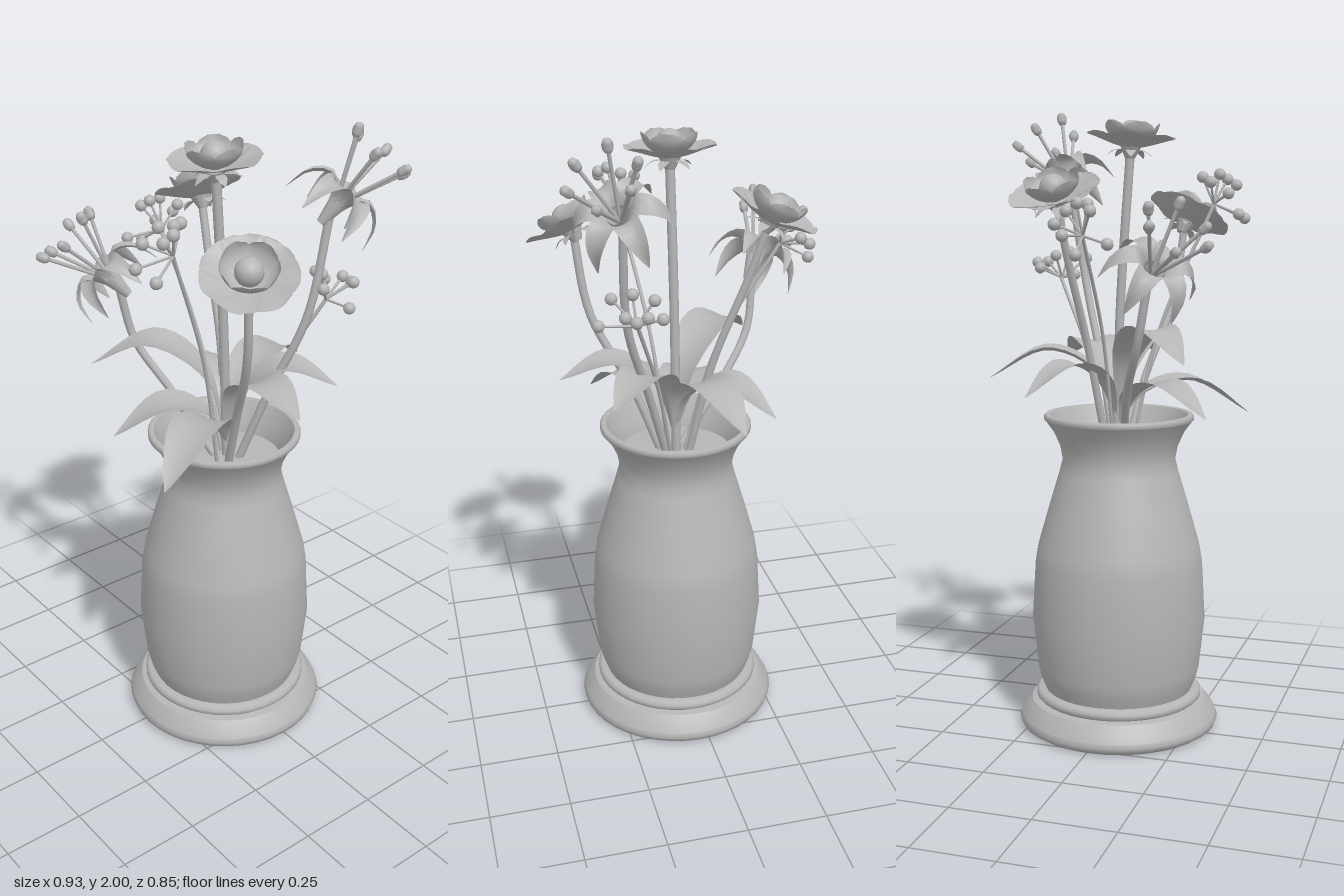
import * as THREE from 'three';

const V = (x, y, z) => new THREE.Vector3(x, y, z);
const UP = V(0, 1, 0);
const clay = new THREE.MeshStandardMaterial({ color: 0xb5b5b5, side: THREE.DoubleSide });
clay.name = 'grey clay';

function add(parent, name, geometry, position) {
  const mesh = new THREE.Mesh(geometry, clay);
  mesh.name = name;
  if (position) mesh.position.copy(position);
  parent.add(mesh);
  return mesh;
}

function group(parent, name, position, direction) {
  const g = new THREE.Group();
  g.name = name;
  g.position.copy(position);
  if (direction) g.quaternion.setFromUnitVectors(UP, direction.clone().normalize());
  parent.add(g);
  return g;
}

// Blade swept along a curve: width(t) is the half width, cup lifts its edges
function blade(points, width, cup, rows = 9, cols = 6) {
  const curve = new THREE.CatmullRomCurve3(points);
  const first = points[0], last = points[points.length - 1];
  const side = V(last.z - first.z, 0, first.x - last.x).normalize();
  const pos = [], index = [];
  for (let i = 0; i <= rows; i++) {
    const t = i / rows, p = curve.getPoint(t), w = width(t);
    const normal = curve.getTangent(t).cross(side).normalize();
    for (let j = 0; j <= cols; j++) {
      const s = (j / cols) * 2 - 1;
      const q = p.clone().addScaledVector(side, s * w).addScaledVector(normal, cup * s * s * w);
      pos.push(q.x, q.y, q.z);
      if (i < rows && j < cols) {
        const a = i * (cols + 1) + j, b = a + cols + 1;
        index.push(a, b, a + 1, b, b + 1, a + 1);
      }
    }
  }
  const geo = new THREE.BufferGeometry();
  geo.setAttribute('position', new THREE.Float32BufferAttribute(pos, 3));
  geo.setIndex(index);
  geo.computeVertexNormals();
  return geo;
}

function tube(points, radius, segments = 20) {
  return new THREE.TubeGeometry(new THREE.CatmullRomCurve3(points), segments, radius, 8);
}

// Thin rod between two points
function rod(parent, name, a, b, radius) {
  const d = b.clone().sub(a);
  const m = add(parent, name, new THREE.CylinderGeometry(radius, radius, d.length(), 6),
    a.clone().add(b).multiplyScalar(0.5));
  m.quaternion.setFromUnitVectors(UP, d.normalize());
}

const roundWidth = (w) => (t) => w * (0.2 + 0.8 * Math.sin(Math.PI * Math.min(1, 0.1 + t * 0.6)))
  * (t > 0.75 ? Math.sqrt(1 - ((t - 0.75) / 0.27) ** 2) : 1);
const pointedWidth = (w, shift) => (t) => 0.002 + w * Math.sin(Math.PI * Math.pow(t, shift));

// Open round blossom: two rings of petals around a ball
function blossom(parent, position, direction, turn) {
  const g = group(parent, 'blossom', position, direction);
  const outer = blade([V(0, 0, 0.012), V(0, 0.012, 0.06), V(0, 0.028, 0.11), V(0, 0.036, 0.14)], roundWidth(0.064), 0.22);
  const inner = blade([V(0, 0.012, 0.01), V(0, 0.02, 0.045), V(0, 0.048, 0.075), V(0, 0.08, 0.086)], roundWidth(0.05), 0.25);
  for (let i = 0; i < 7; i++) add(g, 'outerPetal', outer).rotation.y = turn + i * Math.PI * 2 / 7;
  for (let i = 0; i < 5; i++) add(g, 'innerPetal', inner).rotation.y = turn + 0.3 + i * Math.PI * 2 / 5;
  add(g, 'blossomCentre', new THREE.SphereGeometry(0.042, 16, 12), V(0, 0.046, 0));
  add(g, 'calyx', new THREE.CylinderGeometry(0.035, 0.015, 0.04, 10), V(0, -0.012, 0));
  const sepal = blade([V(0, -0.005, 0.015), V(0, -0.008, 0.05), V(0, -0.025, 0.075)], pointedWidth(0.014, 0.8), 0.1, 5, 2);
  for (let i = 0; i < 5; i++) add(g, 'sepal', sepal).rotation.y = i * Math.PI * 2 / 5;
}

// Lily: drooping recurved petals with long stamens
function lily(parent, position, direction, turn) {
  const g = group(parent, 'lily', position, direction);
  const petal = blade([V(0, -0.03, 0.012), V(0, 0.045, 0.032), V(0, 0.078, 0.072), V(0, 0.045, 0.12), V(0, -0.03, 0.145)],
    pointedWidth(0.036, 0.9), 0.35, 10, 4);
  for (let i = 0; i < 6; i++) add(g, 'lilyPetal', petal).rotation.y = turn + i * Math.PI / 3;
  add(g, 'lilyThroat', new THREE.CylinderGeometry(0.034, 0.014, 0.1, 10, 1, true), V(0, 0.005, 0));
  for (let i = 0; i < 6; i++) {
    const a = turn + 0.4 + i * Math.PI / 3, r = 0.1;
    const tip = V(Math.sin(a) * r, 0.21 + 0.015 * (i % 2), Math.cos(a) * r);
    rod(g, 'stamen', V(0, 0.02, 0), tip, 0.006);
    const anther = add(g, 'anther', new THREE.CapsuleGeometry(0.016, 0.014, 2, 6), tip);
    anther.quaternion.setFromUnitVectors(UP, tip.clone().normalize());
  }
}

// Spray of berries on thin stalks
function berrySpray(parent, position, direction, turn) {
  const g = group(parent, 'berrySpray', position, direction);
  const bead = new THREE.IcosahedronGeometry(0.019, 1);
  for (let i = 0; i < 8; i++) {
    const a = turn + i * 2.4, r = 0.04 + 0.07 * (i % 3) / 2;
    const tip = V(Math.sin(a) * r, 0.12 - r * 1.05, Math.cos(a) * r);
    rod(g, 'berryStalk', V(0, -0.01, 0), tip, 0.004);
    add(g, 'berry', bead, tip);
  }
}

export function createModel() {
  const model = new THREE.Group();
  model.name = 'flowerVase';

  // Vase: foot, body and flared rim in separate smooth sections
  const vase = group(model, 'vase', V(0.035, 0, 0.01));
  const lathe = (name, pts) => add(vase, name,
    new THREE.LatheGeometry(pts.map((p) => new THREE.Vector2(p[0], p[1])), 40));
  lathe('footBottom', [[0, 0], [0.305, 0]]);
  lathe('footEdge', [[0.305, 0], [0.32, 0.01], [0.325, 0.025], [0.32, 0.038]]);
  lathe('footSlope', [[0.32, 0.038], [0.305, 0.065], [0.285, 0.088]]);
  lathe('footLedge', [[0.285, 0.088], [0.262, 0.092]]);
  lathe('footRing', [[0.262, 0.092], [0.27, 0.1], [0.27, 0.112], [0.262, 0.122], [0.24, 0.124]]);
  lathe('body', [[0.24, 0.12], [0.255, 0.16], [0.265, 0.2], [0.282, 0.36], [0.272, 0.54], [0.262, 0.6],
    [0.225, 0.73], [0.192, 0.84], [0.182, 0.88], [0.19, 0.925], [0.21, 0.97], [0.235, 1.005]]);
  lathe('rim', [[0.235, 1.005], [0.241, 1.01], [0.241, 1.022], [0.235, 1.028], [0.222, 1.026]]);
  lathe('innerWall', [[0.222, 1.026], [0.197, 0.975], [0.18, 0.93], [0.172, 0.88]]);
  lathe('innerFloor', [[0.18, 0.925], [0, 0.93]]);

  // Stems with their heads: [head, stem radius, path, head direction, turn]
  const flowers = [
    [blossom, 0.015, [V(0.035, 0.92, 0), V(0.036, 1.4, 0.015), V(0.04, 1.86, 0.045)], V(0, 1, 0.08), 0],
    [blossom, 0.013, [V(0, 0.92, -0.02), V(-0.07, 1.25, -0.06), V(-0.17, 1.52, -0.09), V(-0.225, 1.69, -0.105)], V(-0.42, 0.9, -0.08), 0.3],
    [blossom, 0.013, [V(0.08, 0.92, 0.03), V(0.16, 1.13, 0.06), V(0.28, 1.37, 0.12), V(0.32, 1.63, 0.15)], V(0.4, 0.84, 0.3), 0.6],
    [lily, 0.013, [V(0.07, 0.92, -0.02), V(0.14, 1.16, -0.08), V(0.22, 1.42, -0.16), V(0.24, 1.74, -0.22)], V(0.33, 0.75, -0.52), 0.2],
    [lily, 0.013, [V(0.02, 0.92, 0.03), V(-0.14, 1.12, 0.09), V(-0.24, 1.27, 0.15), V(-0.265, 1.46, 0.19)], V(-0.45, 0.68, 0.5), 0.5],
    [berrySpray, 0.006, [V(0.01, 0.92, 0), V(-0.1, 1.28, 0), V(-0.3, 1.6, 0)], V(-0.6, 0.8, 0), 0],
    [berrySpray, 0.006, [V(0.05, 0.92, 0.05), V(0.09, 1.3, 0.13), V(0.16, 1.7, 0.29)], V(0.1, 0.8, 0.5), 1],
    [berrySpray, 0.006, [V(0.06, 0.92, -0.04), V(0.12, 1.2, -0.12), V(0.21, 1.46, -0.25)], V(0.1, 0.6, -0.5), 2],
  ];
  for (const [head, radius, path, direction, turn] of flowers) {
    add(model, 'stem', tube(path, radius));
    head(model, path[path.length - 1], direction, turn);
  }

  // Arching leaves: [tip, height of the arch at mid length]
  const leaves = [
    [V(-0.08, 1.14, -0.39), 1.23],
    [V(-0.23, 1.1, -0.21), 1.19],
    [V(-0.27, 1.22, 0.3), 1.31],
    [V(-0.11, 1.04, 0.33), 1.13],
    [V(0.24, 1.02, 0.39), 1.13],
    [V(0.4, 1.2, 0.02), 1.25],
    [V(0.28, 1.19, -0.24), 1.25],
  ];
  const root = V(0.04, 0.97, 0.005);
  for (const [tip, arch] of leaves) {
    const near = root.clone().lerp(tip, 0.17).setY(root.y + (arch - root.y) * 0.72);
    const mid = root.clone().lerp(tip, 0.54).setY(arch);
    add(model, 'leaf', blade([root, near, mid, tip], pointedWidth(0.076, 1.35), 0.2, 16, 6));
  }

  return model;
}
